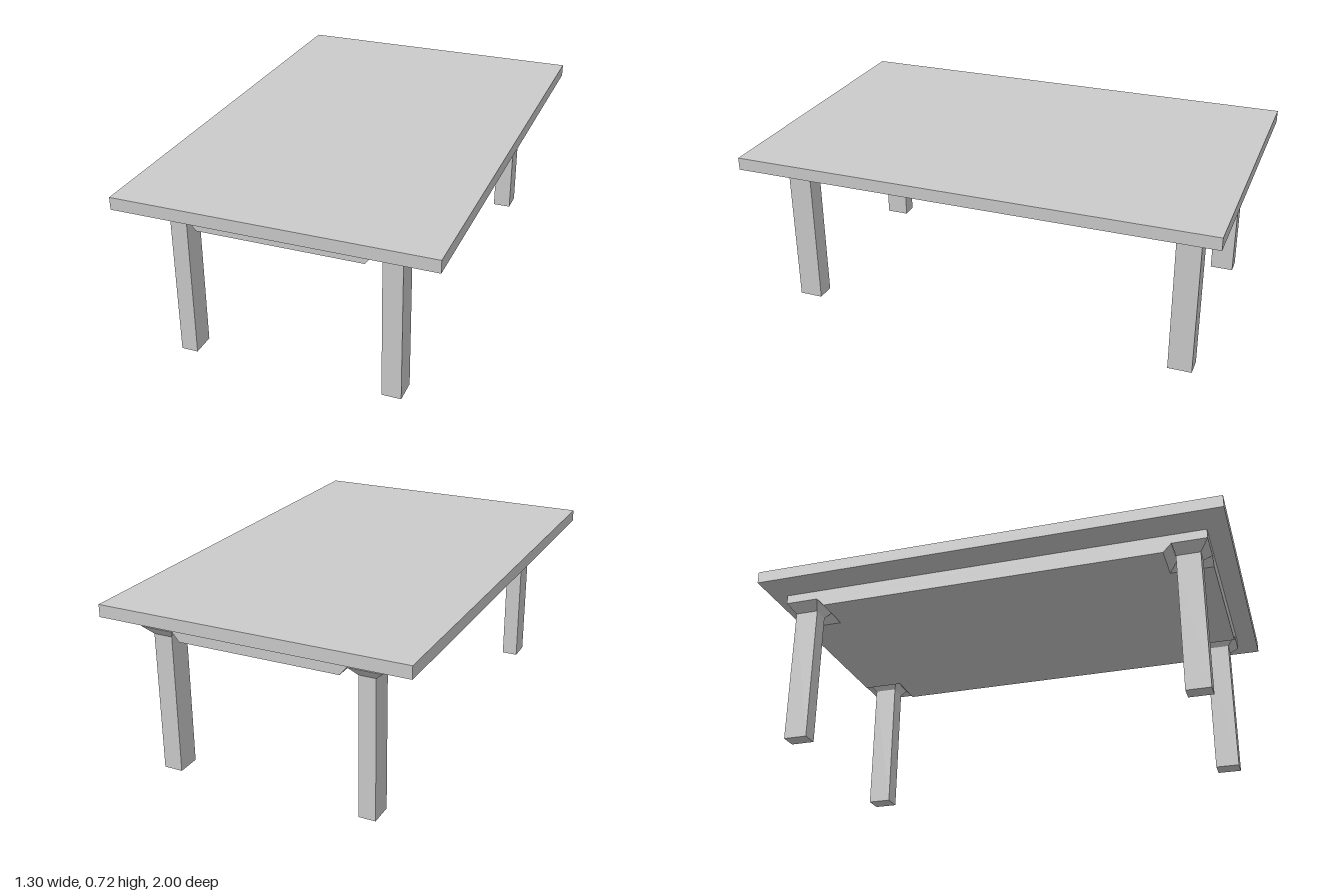
import * as THREE from 'three';

const X = 0.51, Z_BACK = -0.93, Z_FRONT = 0.915; // apron footprint
const Y_BOTTOM = 0.59, Y_NOTCH = 0.626, Y_APRON = 0.665, Y_TOP = 0.717;

const material = new THREE.MeshStandardMaterial({ color: 0xcccccc, flatShading: true });

function addMesh(parent, name, geometry) {
  const mesh = new THREE.Mesh(geometry, material);
  mesh.name = name;
  parent.add(mesh);
  return mesh;
}

function box(x0, x1, y0, y1, z0, z1) {
  return new THREE.BoxGeometry(x1 - x0, y1 - y0, z1 - z0)
    .translate((x0 + x1) / 2, (y0 + y1) / 2, (z0 + z1) / 2);
}

// Closed solid through horizontal rings, listed from the bottom up
function loft(rings) {
  const positions = [];
  const push = (ring, i) => positions.push(ring.pts[i][0], ring.y, ring.pts[i][1]);
  const n = rings[0].pts.length;
  for (let r = 0; r < rings.length - 1; r++) {
    const low = rings[r], high = rings[r + 1];
    for (let i = 0; i < n; i++) {
      const j = (i + 1) % n;
      push(low, i); push(high, i); push(high, j);
      push(low, i); push(high, j); push(low, j);
    }
  }
  const cap = (ring, flip) => {
    const contour = ring.pts.map(([x, z]) => new THREE.Vector2(x, z));
    for (const [a, b, c] of THREE.ShapeUtils.triangulateShape(contour, [])) {
      for (const i of flip ? [a, c, b] : [a, b, c]) push(ring, i);
    }
  };
  cap(rings[0], false);
  cap(rings[rings.length - 1], true);
  const geometry = new THREE.BufferGeometry();
  geometry.setAttribute('position', new THREE.Float32BufferAttribute(positions, 3));
  geometry.computeVertexNormals();
  return geometry;
}

const rect = (x0, x1, z0, z1) => [[x0, z0], [x1, z0], [x1, z1], [x0, z1]];

// Apron outline with a square cut out of each corner
function notched(x, z0, z1) {
  return [
    [-x, Z_BACK], [x, Z_BACK], [x, z0], [X, z0], [X, z1], [x, z1],
    [x, Z_FRONT], [-x, Z_FRONT], [-x, z1], [-X, z1], [-X, z0], [-x, z0],
  ];
}

export function createModel() {
  const table = new THREE.Group();
  table.name = 'table';

  addMesh(table, 'tableTop', box(-0.65, 0.65, Y_APRON, Y_TOP, -1, 1));

  // Solid apron: full slab above, bevel-notched corners below
  const apron = new THREE.Group();
  apron.name = 'apron';
  table.add(apron);
  addMesh(apron, 'apronSlab', box(-X, X, Y_NOTCH, Y_APRON, Z_BACK, Z_FRONT));
  addMesh(apron, 'apronNotchedBase', loft([
    { y: Y_BOTTOM, pts: notched(0.34, -0.75, 0.735) },
    { y: Y_NOTCH, pts: notched(0.37, -0.785, 0.77) },
  ]));

  // Legs flare out to meet the apron corners
  const sidesX = [
    { name: 'Right', leg: [-0.47, -0.40], flare: [-X, -0.37] },
    { name: 'Left', leg: [0.395, 0.475], flare: [0.37, X] },
  ];
  const sidesZ = [
    { name: 'front', leg: [0.78, 0.88], flare: [0.77, Z_FRONT] },
    { name: 'back', leg: [-0.90, -0.80], flare: [Z_BACK, -0.785] },
  ];
  for (const sx of sidesX) {
    for (const sz of sidesZ) {
      const post = rect(...sx.leg, ...sz.leg);
      addMesh(table, `${sz.name}${sx.name}Leg`, loft([
        { y: 0, pts: post },
        { y: Y_BOTTOM, pts: post },
        { y: Y_NOTCH, pts: rect(...sx.flare, ...sz.flare) },
      ]));
    }
  }
  return table;
}
